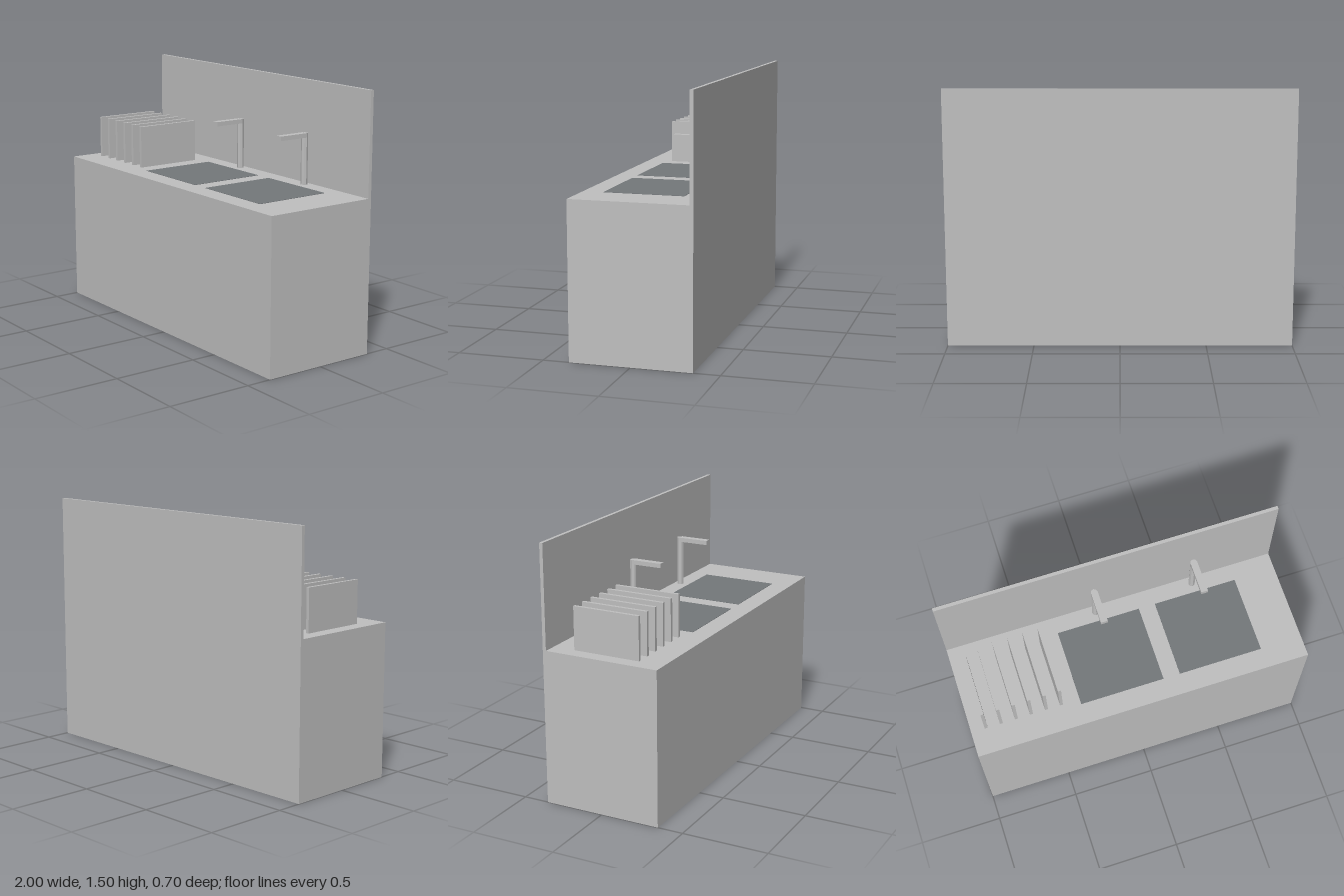
import * as THREE from 'three';

const steel = new THREE.MeshStandardMaterial({ color: 0xc0c0c0, flatShading: true });
steel.name = 'brushedSteel';
const basinGrey = new THREE.MeshStandardMaterial({ color: 0x74787b });
basinGrey.name = 'basinGrey';

// Box given by its size and the centre of its base
function box(name, [w, h, d], [x, y, z], material = steel) {
  const mesh = new THREE.Mesh(new THREE.BoxGeometry(w, h, d), material);
  mesh.name = name;
  mesh.position.set(x, y + h / 2, z);
  return mesh;
}

// Eight-sided post with a flat spout reaching forward
function faucet(x) {
  const group = new THREE.Group();
  group.name = 'faucet';
  const post = new THREE.Mesh(new THREE.CylinderGeometry(0.02, 0.02, 0.3, 8), steel);
  post.name = 'faucetPost';
  post.position.set(0, 0.15, 0);
  group.add(post, box('faucetSpout', [0.04, 0.026, 0.19], [0, 0.275, 0.095]));
  group.position.set(x, 0.9, -0.29);
  return group;
}

export function createModel() {
  const model = new THREE.Group();
  model.name = 'sinkUnit';

  // Cabinet and backsplash
  model.add(box('cabinet', [2, 0.9, 0.7], [0, 0, 0]));
  model.add(box('backsplash', [2, 0.6, 0.02], [0, 0.9, -0.34]));

  // Two basins shown as dark thin plates
  for (const x of [-0.1, 0.5]) {
    model.add(box('basin', [0.5, 0.002, 0.46], [x, 0.9, 0], basinGrey));
    model.add(faucet(x));
  }

  // Row of upright drying-rack panels
  for (let i = 0; i < 6; i++) {
    model.add(box('rackPanel', [0.018, 0.25, 0.4], [-0.91 + i * 0.09, 0.9, 0]));
  }
  return model;
}
